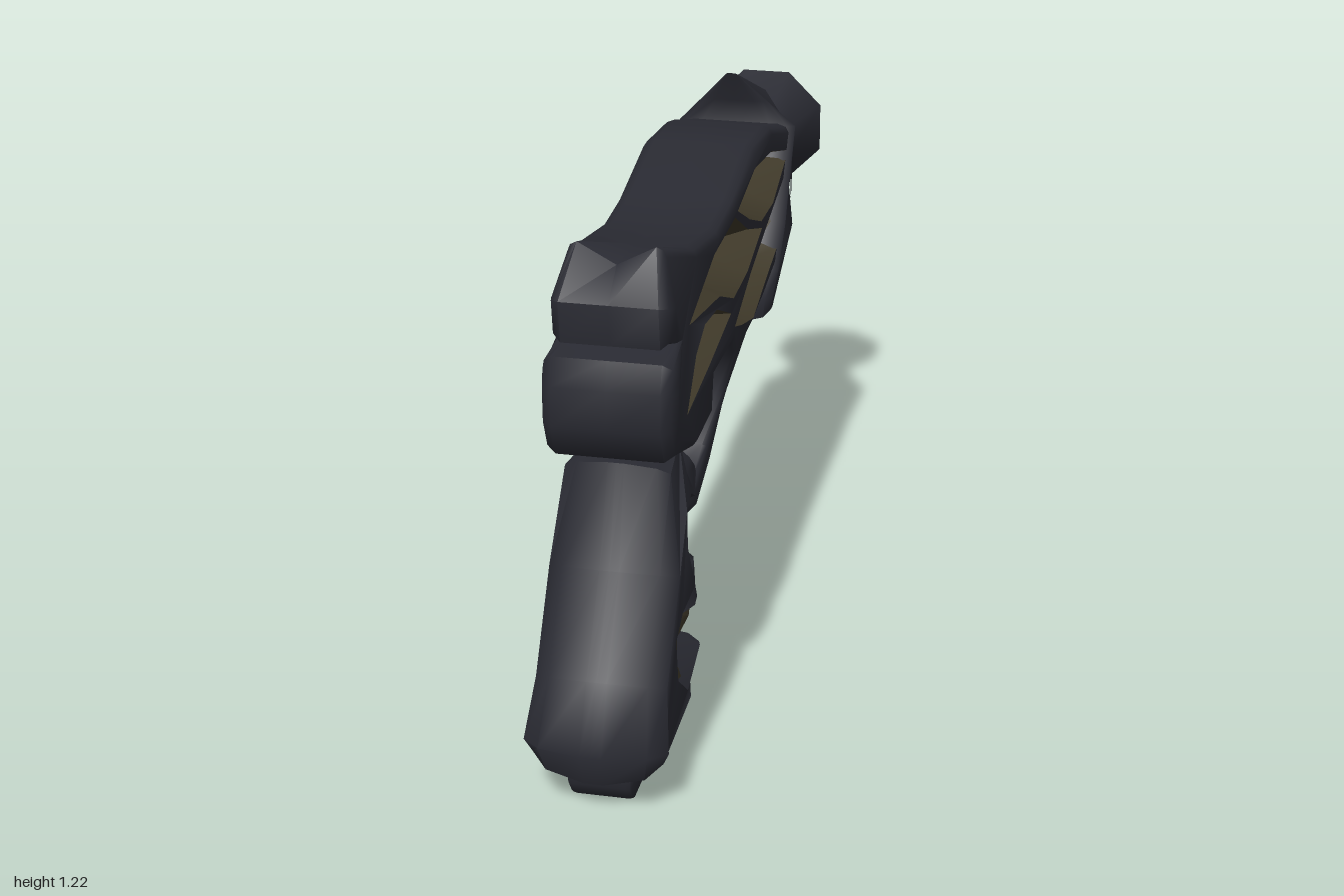
import * as THREE from 'three';
import { toCreasedNormals } from 'three/addons/utils/BufferGeometryUtils.js';

const paint = (name, color) => {
  const m = new THREE.MeshStandardMaterial({ color });
  m.name = name;
  return m;
};
const lerp = THREE.MathUtils.lerp;
const ramp = (v, a, b) => THREE.MathUtils.clamp((v - a) / (b - a), 0, 1);

// pairs of [z, y] in hundredths, turned counter-clockwise (or clockwise for holes)
function loop(flat, clockwise = false) {
  const pts = [];
  for (let i = 0; i < flat.length; i += 2) pts.push(new THREE.Vector2(flat[i] / 100, flat[i + 1] / 100));
  if (THREE.ShapeUtils.isClockWise(pts) !== clockwise) pts.reverse();
  return pts;
}

// move each corner to the left of the path by a distance
function inset(pts, dist) {
  const n = pts.length;
  return pts.map((p, i) => {
    const d1 = p.clone().sub(pts[(i + n - 1) % n]).normalize();
    const d2 = pts[(i + 1) % n].clone().sub(p).normalize();
    const n1 = new THREE.Vector2(-d1.y, d1.x), n2 = new THREE.Vector2(-d2.y, d2.x);
    const m = n1.clone().add(n2).normalize();
    return p.clone().addScaledVector(m, dist(p) / Math.max(0.6, m.dot(n1)));
  });
}

function geometry(pos) {
  const g = new THREE.BufferGeometry();
  g.setAttribute('position', new THREE.Float32BufferAttribute(pos, 3));
  return toCreasedNormals(g, 1);
}

// join rings of [x, y, z] corners running from +x to -x
function walls(rings, pos) {
  for (let r = 0; r < rings.length - 1; r++) {
    const A = rings[r], B = rings[r + 1], n = A.length;
    for (let i = 0; i < n; i++) {
      const j = (i + 1) % n;
      pos.push(...A[i], ...A[j], ...B[i], ...A[j], ...B[j], ...B[i]);
    }
  }
}

// rounded slab cut to a side outline; width(z, y) is its half width
function slab(group, name, mat, flat, width, bevel, o = {}) {
  const w = typeof width === 'function' ? width : () => width;
  const b = typeof bevel === 'function' ? bevel : () => bevel;
  const outer = loop(flat), holes = (o.holes || []).map(h => loop(h, true));
  const [k1, k2] = o.round || [0.94, 0.8];
  const cap = inset(outer, b), mid = inset(outer, p => b(p) * 0.35);
  const ring = (pts, k) => pts.map((p, i) => [k * w(outer[i].x, outer[i].y), p.y, p.x]);
  const centre = outer.map(p => [0, p.y - (o.groove ? o.groove(p.x, p.y) : 0), p.x]);
  const pos = [];
  walls([ring(cap, 1), ring(mid, k1), ring(outer, k2), centre,
    ring(outer, -k2), ring(mid, -k1), ring(cap, -1)], pos);
  const holeRing = (h, pts, k) => pts.map((p, i) => [k * w(h[i].x, h[i].y), p.y, p.x]);
  const all = [ring(cap, 1), ...holes.map(h => holeRing(h, h, 1))].flat();
  for (const [a, c, d] of THREE.ShapeUtils.triangulateShape(cap, holes)) {
    const flip = ([x, y, z]) => [-x, y, z];
    pos.push(...all[a], ...all[d], ...all[c]);
    pos.push(...flip(all[a]), ...flip(all[c]), ...flip(all[d]));
  }
  const mesh = new THREE.Mesh(geometry(pos), mat);
  mesh.name = name;
  group.add(mesh);
  // sloped inner walls of the openings
  holes.forEach((h, i) => {
    const small = inset(h, () => -0.03), p = [];
    walls([holeRing(h, h, 1), holeRing(h, small, 0.4), holeRing(h, small, -0.4), holeRing(h, h, -1)], p);
    const lining = new THREE.Mesh(geometry(p), o.lining);
    lining.name = 'openingLining' + (i + 1);
    group.add(lining);
  });
}

export function createModel() {
  const model = new THREE.Group();
  model.name = 'sciFiPistol';
  const dark = paint('charcoal', 0x2a2b33), olive = paint('olive brown', 0x403a2a);
  const orange = paint('orange', 0xcd4e08), amber = paint('amber', 0xd8860c);

  // frame: top rail, rear block, struts and trigger in one outline
  const frame = [71.5, 120, 79.5, 109.5, 78, 100, 72, 99, 81, 98, 83, 92, 83, 83, 79.5, 75.5, 60, 70.5, 44, 71,
    36, 76.5, 14, 76, 6, 70, 4.5, 60.5, 10.5, 49, 22, 45.5, 34.5, 46, 36, 41.5, 21.5, 38, 7, 43, -2, 57,
    -12.5, 67.5, -27.5, 71, -39, 76, -61, 92.5, -61, 106, -52, 108, -32, 114, -10, 116, 14, 111, 31, 110, 54, 114];
  const openings = [
    [62, 99.5, 36, 106, 13, 106.5, -2, 98.5, -20, 92.5, -2, 88, 14, 87.5, 30, 94],
    [10, 107, -10, 110.5, -31, 108, -54, 101, -34, 94, -19, 94.5, -4.5, 100],
    [70, 82.5, 61, 92.5, 52, 96, 33, 92, 17, 85, 41, 82],
    [12.5, 80, -7, 86.5, -26, 91, -49, 96, -40, 80.5, -26, 77.5, -10, 73.5, 3.5, 77],
  ];
  const frameWidth = (z, y) => {
    if (z < 0.4 && y < 0.72) return lerp(0.065, 0.125, ramp(y, 0.5, 0.72));
    if (y > 1.18) return 0.105;
    return z > 0.42 && y < 0.985 ? 0.145 : 0.132;
  };
  slab(model, 'frame', dark, frame, frameWidth, (p) => (p.x > 0.75 ? 0.045 : 0.02), {
    holes: openings, lining: olive, groove: (z, y) => (z > 0.6 && y > 1.18 ? 0.045 : 0),
  });

  // shroud with its lower flap and pointed fin
  const shroud = [-48, 121.5, -52, 113.5, -53.5, 107, -47.5, 98, -42, 86.5, -35, 76.5, -32, 69.5, -33, 63.5,
    -39.5, 63, -55.5, 80, -64, 86, -67, 95, -66, 107, -59, 115, -52, 120];
  slab(model, 'shroud', dark, shroud, (z, y) => Math.min(
    lerp(0.145, 0.015, ramp(y, 1.07, 1.2)), lerp(0.145, 0.095, ramp(-z, 0.58, 0.67)),
    lerp(0.124, 0.145, ramp(y, 0.62, 0.8))),
  (p) => (p.y > 1.1 ? 0.006 : 0.024), { round: [0.88, 0.6] });

  // grip with finger ridges and a keeled heel
  const grip = [74, 72, 81, 50, 93.5, 30, 100, 15.5, 97, 7.5, 51.5, 3, 43, 3.5, 40, 8, 40, 16, 45, 17.5, 72, 21,
    78, 26, 78, 33, 73.5, 35.5, 60, 30.5, 44, 24.5, 39.5, 26, 36, 31, 38.5, 36.5, 47.5, 39.5, 61, 44, 65.5, 51,
    64, 56, 57, 56, 46.5, 50.5, 40, 48.5, 33.5, 52, 32.5, 55.5, 36.5, 60, 47.5, 61, 53, 65, 52, 72];
  const gripWidth = (z, y) => {
    const base = y < 0.16 ? lerp(0.135, 0.158, ramp(y, 0.04, 0.13))
      : y < 0.5 ? lerp(0.158, 0.143, ramp(y, 0.16, 0.3)) : lerp(0.143, 0.115, ramp(y, 0.5, 0.72));
    return base - 0.05 * ramp(z, 0.62, 0.38);
  };
  slab(model, 'grip', dark, grip, gripWidth, (p) => (p.x > 0.79 ? 0.05 : 0.022), { round: [0.75, 0.15] });

  // finger slot linings and glowing core
  [[81, 23, 81, 36, 73, 38, 57, 31.5, 44, 27, 44, 23.5, 57, 27.5, 71.5, 30, 73.5, 26, 71.5, 21],
    [68, 47, 67, 58, 56, 58, 44, 50, 46, 47.5, 58, 52.5, 62, 50, 60, 44],
    [54, 74, 47, 74, 49.5, 66, 44, 63, 36, 60, 46, 59, 55, 63],
  ].forEach((s, i) => slab(model, 'slotLining' + (i + 1), olive, s, (z, y) => gripWidth(z, y) - 0.016, 0.01));
  slab(model, 'gripCore', orange, [26.5, 76, 34.5, 59, 40, 48.5, 41, 40.5, 44, 24, 45, 17, 76, 21, 76, 36, 65, 58, 52, 74],
    (z) => lerp(0.058, 0.085, ramp(z, 0.35, 0.6)), 0.012);

  // base plate under the grip
  slab(model, 'basePlate', dark, [92, 8, 92, 4, 89, 0, 54, 0, 50, 3, 50, 8], 0.07, 0.005);

  // eight-sided barrel and muzzle, turned about the z axis
  const muzzle = new THREE.Group();
  muzzle.name = 'muzzle';
  muzzle.position.y = 0.943;
  model.add(muzzle);
  const turned = (name, mat, pts, start = 0, sides = 8) => {
    const prof = pts.map(([r, z]) => new THREE.Vector2(r, -z));
    const g = new THREE.LatheGeometry(prof, sides, start + Math.PI / 8, sides * Math.PI / 4);
    g.rotateX(-Math.PI / 2);
    const m = new THREE.Mesh(toCreasedNormals(g, 1), mat);
    m.name = name;
    muzzle.add(m);
  };
  turned('barrel', dark, [[0.15, -0.54], [0.142, -0.6], [0.115, -0.68], [0.083, -0.79], [0.092, -0.83], [0.155, -0.945]]);
  const bevel = [[0.155, -0.945], [0.138, -0.98], [0.118, -1]];
  turned('muzzleBevelLeft', orange, bevel, 0, 3);
  turned('muzzleBevelRight', orange, bevel, -Math.PI * 0.75, 1);
  turned('muzzleBevelTop', amber, bevel, -Math.PI * 0.5, 2);
  turned('muzzleBevelBottom', amber, bevel, -Math.PI * 1.25, 2);
  turned('muzzleLip', amber, [[0.118, -1], [0.085, -0.985]]);
  turned('muzzleBore', orange, [[0.085, -0.985], [0.06, -0.94], [0, -0.93]]);
  return model;
}
